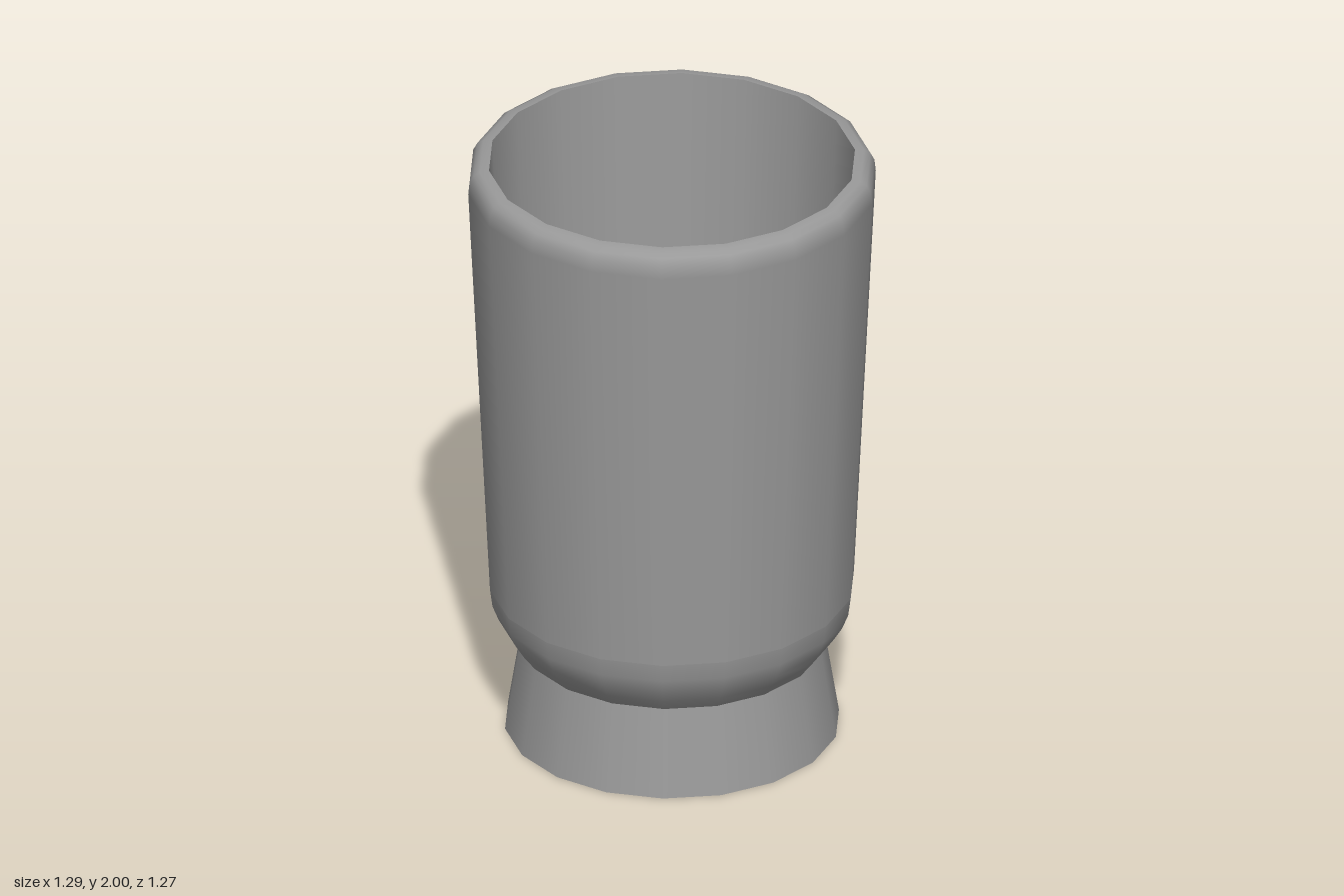
import * as THREE from 'three';

const SIDES = 18;
const material = new THREE.MeshStandardMaterial({ color: 0x9a9a9a });

// Revolve a [radius, height] profile; a separate lathe per part keeps the joints sharp
function turned(name, profile) {
  const points = profile.map(([r, y]) => new THREE.Vector2(r, y));
  const mesh = new THREE.Mesh(
    new THREE.LatheGeometry(points, SIDES, Math.PI / 2, Math.PI * 2), material);
  mesh.name = name;
  return mesh;
}

export function createModel() {
  const cup = new THREE.Group();
  cup.name = 'cup';
  cup.add(
    // Flared foot and its flat underside
    turned('footUnderside', [[0, 0], [0.53, 0]]),
    turned('foot', [[0.53, 0], [0.483, 0.295]]),
    // Rounded shoulder above the foot
    turned('shoulder', [[0.483, 0.295], [0.519, 0.341], [0.55, 0.39], [0.57, 0.44], [0.578, 0.5]]),
    // Slightly tapered wall with a rolled rim
    turned('outerWall', [
      [0.578, 0.5], [0.647, 1.92], [0.643, 1.96], [0.63, 1.985], [0.61, 1.997], [0.581, 2],
    ]),
    // Hollow inside with a chamfer down to the flat floor
    turned('innerWall', [[0.581, 2], [0.512, 0.5]]),
    turned('innerChamfer', [[0.512, 0.5], [0.428, 0.32]]),
    turned('floor', [[0.428, 0.32], [0, 0.32]]),
  );
  return cup;
}
